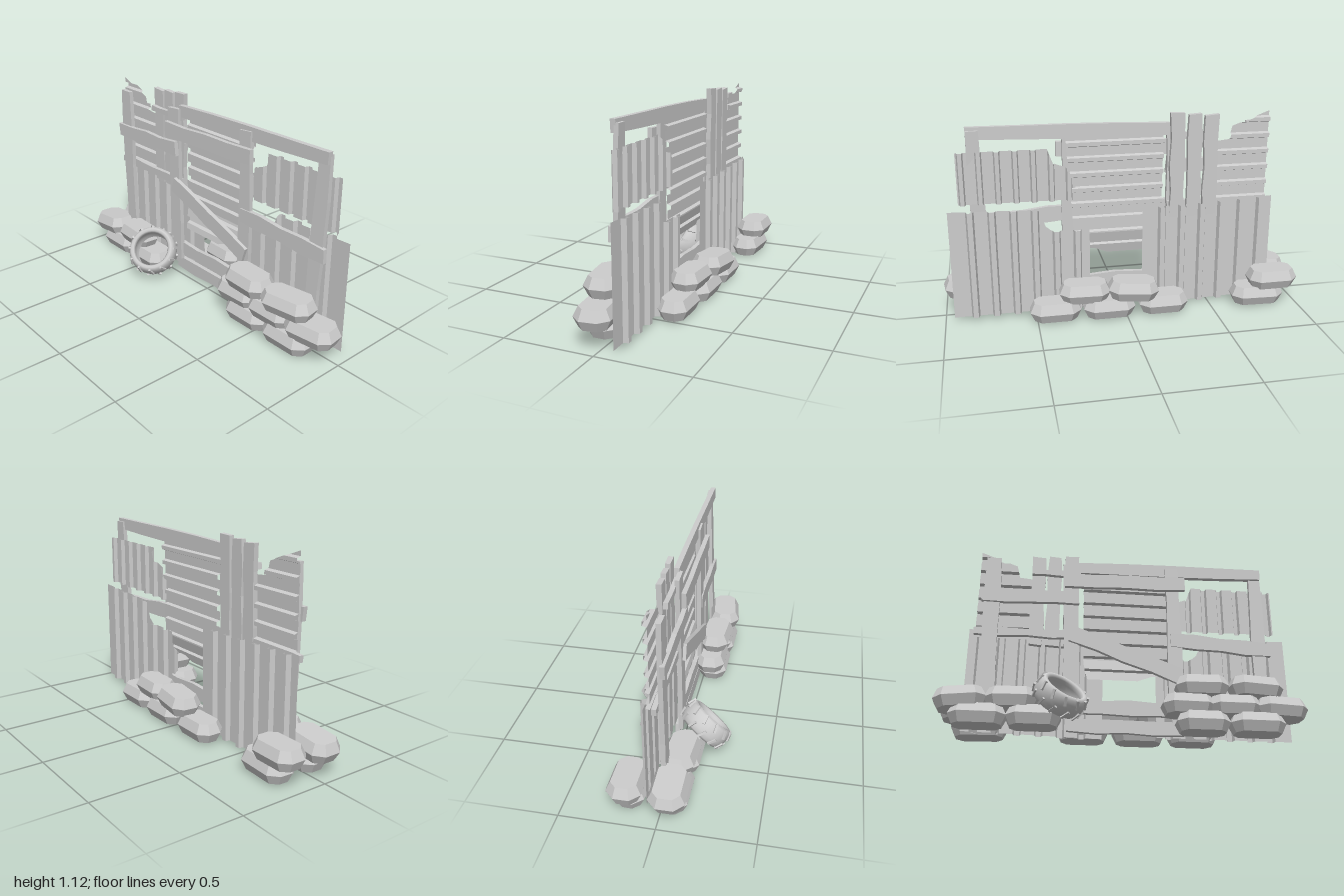
import * as THREE from 'three';

const grey = new THREE.MeshStandardMaterial({ color: 0xcccccc, side: THREE.DoubleSide });
grey.name = 'plain grey';

// Piecewise linear lookup through [u, value] points
function lerpPoints(pts, u) {
  if (u <= pts[0][0]) return pts[0][1];
  for (let i = 1; i < pts.length; i++) {
    const [a, va] = pts[i - 1], [b, vb] = pts[i];
    if (u <= b) return va + (vb - va) * (u - a) / (b - a);
  }
  return pts[pts.length - 1][1];
}

export function createModel() {
  const root = new THREE.Group();
  root.name = 'scrapBarricade';

  function add(name, geometry, parent = root) {
    const mesh = new THREE.Mesh(geometry, grey);
    mesh.name = name;
    parent.add(mesh);
    return mesh;
  }

  // Corrugated sheet: ridges repeat along u, each strip runs from lo(u) to hi(u)
  function sheet(name, { lo, hi, period, ridge, z, depth, sideways = false, bend = [[0, 0]] }) {
    const u0 = lo[0][0], u1 = lo[lo.length - 1][0];
    const profile = [[u0, 0]];
    for (let u = u0 + period * 0.4; u + ridge < u1; u += period) {
      profile.push([u, 0], [u + ridge * 0.2, -depth], [u + ridge * 0.8, -depth], [u + ridge, 0]);
    }
    profile.push([u1, 0]);
    const us = [...new Set([...profile, ...lo, ...hi, ...bend].map(p => p[0]))]
      .filter(u => u >= u0 && u <= u1).sort((a, b) => a - b);
    const pos = [];
    const point = (u, v) => {
      const d = z + lerpPoints(profile, u) + lerpPoints(bend, u);
      return sideways ? [v, u, d] : [u, v, d];
    };
    for (let i = 1; i < us.length; i++) {
      const a = us[i - 1], b = us[i];
      const p = point(a, lerpPoints(lo, a)), q = point(b, lerpPoints(lo, b));
      const r = point(b, lerpPoints(hi, b)), s = point(a, lerpPoints(hi, a));
      if (sideways) pos.push(...p, ...r, ...q, ...p, ...s, ...r);
      else pos.push(...p, ...q, ...r, ...p, ...r, ...s);
    }
    const g = new THREE.BufferGeometry();
    g.setAttribute('position', new THREE.Float32BufferAttribute(pos, 3));
    g.computeVertexNormals();
    add(name, g);
  }

  sheet('lowerLeftSheet', {
    lo: [[-0.865, 0.02], [-0.11, 0.0]], hi: [[-0.865, 0.62], [-0.11, 0.59]],
    period: 0.115, ridge: 0.045, z: -0.075, depth: 0.026,
  });
  sheet('lowerRightSheet', {
    lo: [[0.19, 0.02], [0.95, 0.02]],
    hi: [[0.19, 0.49], [0.4, 0.495], [0.43, 0.52], [0.47, 0.62], [0.95, 0.635]],
    period: 0.115, ridge: 0.045, z: -0.08, depth: 0.026,
  });
  sheet('upperRightSheet', {
    lo: [[0.24, 0.66], [0.89, 0.665]],
    hi: [[0.24, 0.67], [0.3, 0.84], [0.38, 0.87], [0.41, 0.95], [0.89, 0.95]],
    period: 0.095, ridge: 0.035, z: -0.058, depth: 0.022,
  });
  sheet('upperLeftSheet', {
    lo: [[0.56, -0.83], [1.107, -0.83]],
    hi: [[0.56, -0.48], [0.945, -0.5], [0.955, -0.6], [1.03, -0.62], [1.107, -0.825]],
    period: 0.09, ridge: 0.036, z: -0.05, depth: 0.022, sideways: true,
  });
  sheet('middleSheet', {
    lo: [[0.32, -0.2], [0.42, -0.22], [1.0, -0.23]],
    hi: [[0.32, 0.08], [0.4, 0.27], [1.0, 0.31]],
    period: 0.085, ridge: 0.036, z: -0.048, depth: 0.02, sideways: true,
    bend: [[0.32, 0.035], [0.46, 0]],
  });

  // Rough timber: a board between two points, its edges slightly uneven
  let seed = 0;
  function plank(name, [x1, y1, z1], [x2, y2, z2], width, thick = 0.025) {
    const a = new THREE.Vector3(x1, y1, z1), b = new THREE.Vector3(x2, y2, z2);
    const len = a.distanceTo(b), s = ++seed * 1.7;
    const box = new THREE.BoxGeometry(len, width, thick, 4, 1, 1);
    const p = box.attributes.position;
    for (let i = 0; i < p.count; i++) {
      const x = p.getX(i), y = p.getY(i);
      p.setY(i, y + 0.005 * Math.sin(x * 19 + s + Math.sign(y)));
      p.setX(i, x + 0.004 * Math.sin(s * 3 + Math.sign(y)));
    }
    const g = box.toNonIndexed();
    g.computeVertexNormals();
    const m = add(name, g);
    m.position.copy(a).add(b).multiplyScalar(0.5);
    m.quaternion.setFromUnitVectors(new THREE.Vector3(1, 0, 0), b.sub(a).normalize());
  }

  // Upright posts
  plank('leftPost', [-0.735, 0.12, -0.005], [-0.755, 1.05, -0.008], 0.085);
  plank('innerLeftPost', [-0.285, 0.1, -0.01], [-0.305, 1.04, -0.018], 0.088);
  plank('middlePost', [0.295, 0.12, -0.012], [0.288, 1.05, -0.022], 0.08);
  plank('rightPost', [0.78, 0.1, -0.02], [0.795, 1.06, -0.05], 0.075);

  // Tall boards standing behind the frame
  [[-0.495, 1.1], [-0.402, 1.11], [-0.305, 1.12]].forEach(([x, top], i) =>
    plank('tallBoard' + (i + 1), [x, 0.53, -0.062], [x + 0.002, top, -0.065], 0.078, 0.028));

  // Cross boards
  plank('leftRail', [-0.81, 0.795, 0.008], [-0.26, 0.81, 0.008], 0.078);
  plank('lowLeftRail', [-0.84, 0.59, -0.03], [-0.26, 0.59, -0.03], 0.045);
  plank('shortRail', [-0.53, 0.985, -0.035], [-0.25, 0.99, -0.035], 0.035);
  plank('topRail', [-0.27, 1.025, -0.035], [0.83, 1.05, -0.035], 0.07, 0.028);
  plank('upperRail', [-0.34, 0.915, 0.015], [0.36, 0.93, 0.012], 0.083);
  plank('rightRail', [0.27, 0.578, -0.01], [0.85, 0.545, -0.022], 0.083);
  plank('diagonalBrace', [-0.295, 0.585, 0.004], [0.315, 0.352, 0.004], 0.09);
  plank('bottomRail', [-0.27, 0.165, -0.03], [0.34, 0.16, -0.03], 0.08);
  plank('footRail', [-0.3, 0.058, -0.035], [0.34, 0.055, -0.035], 0.075);

  // Sandbags: chamfered outline, widest at mid height
  function sandbag(name, x, y, z, len = 0.29, depth = 0.18, yaw = 0, roll = 0, h = 0.105) {
    const inset = 0.024, L = len / 2 - inset, D = depth / 2 - inset, c = 0.035;
    const outline = [[L, -D + c], [L, D - c], [L - c, D], [-L + c, D],
      [-L, D - c], [-L, -D + c], [-L + c, -D], [L - c, -D]];
    const g = new THREE.ExtrudeGeometry(
      new THREE.Shape(outline.map(p => new THREE.Vector2(...p))),
      { depth: 0.001, bevelThickness: h / 2, bevelSize: inset, bevelSegments: 1 });
    g.rotateX(-Math.PI / 2);
    const m = add(name, g);
    m.position.set(x, y, z);
    m.rotation.set(0, yaw, roll);
  }
  const bags = [
    // front right pile
    [0.42, 0.064, 0.055, 0.29], [0.715, 0.064, 0.06, 0.3],
    [0.345, 0.16, 0.05, 0.29, 0.18, 0.03], [0.595, 0.16, 0.055, 0.29], [0.855, 0.16, 0.045, 0.29, 0.19, 0.12],
    [0.42, 0.265, 0.065, 0.29, 0.18, -0.05], [0.715, 0.265, 0.075, 0.3, 0.18, 0.15],
    // front left pile
    [-0.77, 0.064, 0.045, 0.3], [-0.48, 0.064, 0.05, 0.29],
    [-0.865, 0.152, 0.045, 0.275, 0.19, 0, 0.1], [-0.6, 0.16, 0.05, 0.28, 0.18, -0.06],
    // back left pile
    [-0.77, 0.064, -0.165, 0.3, 0.17, -0.05], [-0.855, 0.16, -0.17, 0.28, 0.18],
    // back middle pile
    [-0.21, 0.064, -0.17, 0.28, 0.17], [0.1, 0.064, -0.175, 0.29, 0.17], [0.4, 0.064, -0.165, 0.28, 0.17],
    [-0.035, 0.165, -0.19, 0.28, 0.18, -0.1, 0.05], [0.235, 0.16, -0.165, 0.28, 0.17, -0.05],
  ];
  bags.forEach((b, i) => sandbag('sandbag' + (i + 1), ...b));

  // Old tyre leaning against the wall
  const tyre = new THREE.Group();
  tyre.name = 'tyre';
  const section = [[0.1, -0.045], [0.108, -0.058], [0.122, -0.06], [0.134, -0.048], [0.141, -0.025],
    [0.143, 0], [0.141, 0.025], [0.134, 0.048], [0.122, 0.06], [0.108, 0.058], [0.1, 0.045],
    [0.107, 0.025], [0.11, 0], [0.107, -0.025], [0.1, -0.045]];
  add('tyreCasing', new THREE.LatheGeometry(section.map(p => new THREE.Vector2(...p)), 32), tyre);
  for (let i = 0; i < 24; i++) {
    const side = i % 2 ? 1 : -1, a = i / 24 * Math.PI * 2;
    const lug = add('treadLug', new THREE.BoxGeometry(0.014, 0.05, 0.013), tyre);
    lug.position.set(Math.cos(a) * 0.139, side * 0.034, Math.sin(a) * 0.139);
    lug.rotation.order = 'YXZ';
    lug.rotation.set(side * 0.35, -a, side * 0.25);
  }
  tyre.position.set(-0.345, 0.163, 0.135);
  tyre.quaternion.setFromUnitVectors(new THREE.Vector3(0, 1, 0), new THREE.Vector3(0.45, 0.65, 0.6).normalize());
  root.add(tyre);

  return root;
}
